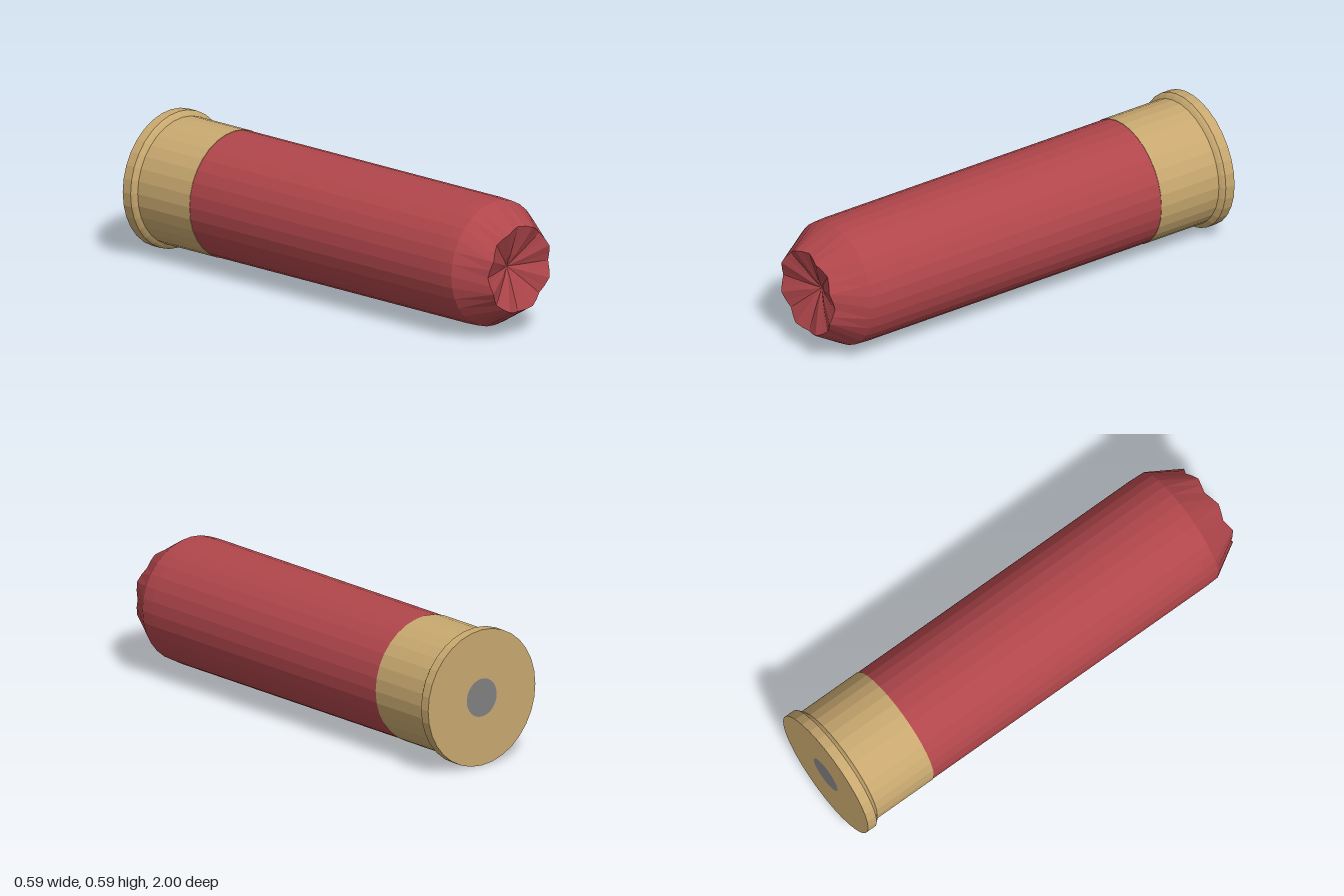
import * as THREE from 'three';

const SIDES = 32;
const AXIS_Y = 0.297;

const makeMaterial = (name, color) => {
  const m = new THREE.MeshStandardMaterial({ color });
  m.name = name;
  return m;
};

// Split the faces so each facet is shaded flat
function faceted(geometry) {
  const g = geometry.index ? geometry.toNonIndexed() : geometry;
  g.computeVertexNormals();
  return g;
}

// Revolve [radius, z] points around the z axis
function turned(profile) {
  const points = profile.map(([r, z]) => new THREE.Vector2(r, z));
  return faceted(new THREE.LatheGeometry(points, SIDES).rotateX(Math.PI / 2));
}

// Skin a stack of rings, each with a radius and a height rule z(angle)
function ringSkin(rings) {
  const position = [];
  const index = [];
  for (const { r, z } of rings) {
    for (let i = 0; i < SIDES; i++) {
      const a = (i / SIDES) * Math.PI * 2;
      position.push(Math.cos(a) * r, Math.sin(a) * r, z(a));
    }
  }
  for (let k = 0; k < rings.length - 1; k++) {
    for (let i = 0; i < SIDES; i++) {
      const j = (i + 1) % SIDES;
      const a = k * SIDES + i, b = k * SIDES + j;
      const c = a + SIDES, d = b + SIDES;
      index.push(a, b, d, a, d, c);
    }
  }
  const g = new THREE.BufferGeometry();
  g.setAttribute('position', new THREE.Float32BufferAttribute(position, 3));
  g.setIndex(index);
  return faceted(g);
}

export function createModel() {
  const red = makeMaterial('red plastic', 0xb0464b);
  const brass = makeMaterial('brass', 0xc8a86f);
  const steel = makeMaterial('primer grey', 0x808080);

  const model = new THREE.Group();
  model.name = 'cartridge';
  const add = (name, geometry, material) => {
    const mesh = new THREE.Mesh(geometry, material);
    mesh.name = name;
    mesh.position.y = AXIS_Y;
    model.add(mesh);
  };

  // Plastic tube
  add('tube', turned([[0.273, -0.64], [0.273, 0.79], [0.27, 0.85]]), red);

  // Shoulder and eight-fold crimp: ridges between the valleys, sunken centre
  const fold = (ridge, depth) => (a) => ridge - depth * (0.5 + 0.5 * Math.cos(8 * a));
  add('shoulder', ringSkin([
    { r: 0.27, z: () => 0.85 },
    { r: 0.185, z: fold(1, 0.02) },
  ]), red);
  add('crimp', ringSkin([
    { r: 0.185, z: fold(1, 0.02) },
    { r: 0.055, z: fold(0.945, 0.008) },
    { r: 0, z: () => 0.915 },
  ]), red);

  // Brass head with a chamfered rim and a hole for the primer
  add('brassHead', turned([
    [0.083, -1], [0.297, -1], [0.297, -0.955], [0.288, -0.945],
    [0.275, -0.935], [0.275, -0.64], [0.273, -0.64],
  ]), brass);

  // Primer, flush with the base
  add('primer', faceted(new THREE.CircleGeometry(0.083, SIDES).rotateY(Math.PI).translate(0, 0, -1)), steel);

  return model;
}
